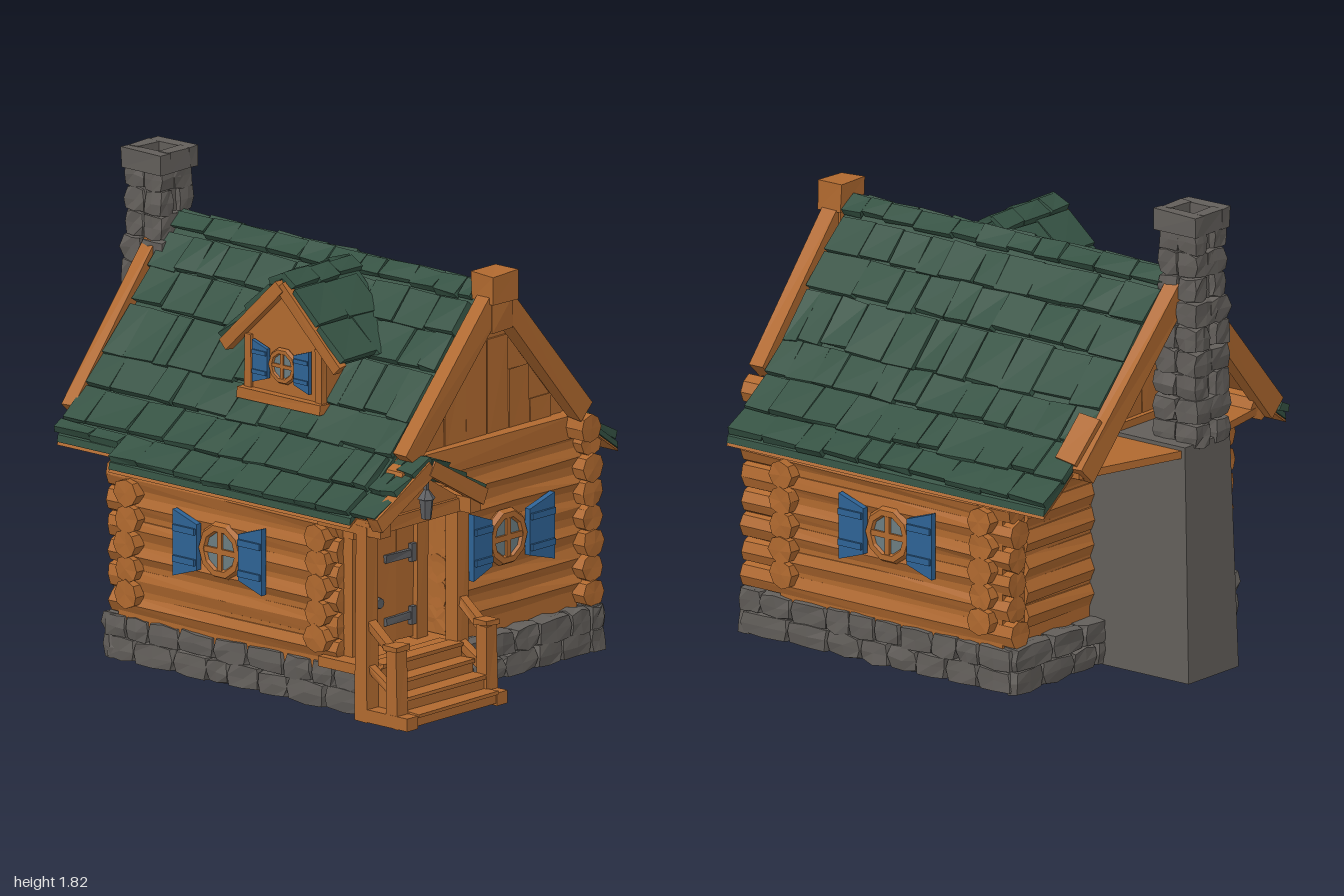
import * as THREE from 'three';

const paint = (name, color) => {
  const m = new THREE.MeshStandardMaterial({ color, flatShading: true });
  m.name = name;
  return m;
};
const WOOD = paint('wood', 0xb0692f), ROOF = paint('roofGreen', 0x345142), STONE = paint('stone', 0x625e5a);
const BLUE = paint('shutterBlue', 0x2e6294), IRON = paint('iron', 0x5c5d60), GLASS = paint('glass', 0x6b7c80);
const V = (x, y, z) => new THREE.Vector3(x, y, z);

// seeded random numbers
let seed = 7;
const rnd = (a = 0, b = 1) => {
  seed = (seed * 16807) % 2147483647;
  return a + (b - a) * seed / 2147483647;
};

// moves shared corners together so faces stay closed
function wobble(geo, amount) {
  const p = geo.attributes.position, s = rnd(0, 50);
  const h = (x, y, z, k) => {
    const v = Math.sin(x * 127.1 + y * 311.7 + z * 74.7 + s + k) * 4375.85;
    return (v - Math.floor(v) - 0.5) * 2 * amount;
  };
  for (let i = 0; i < p.count; i++) {
    const x = p.getX(i), y = p.getY(i), z = p.getZ(i);
    p.setXYZ(i, x + h(x, y, z, 0), y + h(x, y, z, 1.7), z + h(x, y, z, 3.1));
  }
  geo.computeVertexNormals();
  return geo;
}

function add(parent, name, mat, geo, x = 0, y = 0, z = 0) {
  const m = new THREE.Mesh(geo, mat);
  m.name = name;
  m.position.set(x, y, z);
  parent.add(m);
  return m;
}
function group(parent, name) {
  const g = new THREE.Group();
  g.name = name;
  parent.add(g);
  return g;
}
const box = (parent, name, mat, w, h, d, x, y, z, j = 0) =>
  add(parent, name, mat, wobble(new THREE.BoxGeometry(w, h, d), j), x, y, z);

// straight timber from a to b, depth measured along ref
function beam(parent, name, mat, a, b, w, d, ref = V(0, 0, 1), j = 0.004) {
  const Y = b.clone().sub(a), len = Y.length();
  Y.normalize();
  const X = Y.clone().cross(ref).normalize(), Z = X.clone().cross(Y);
  const m = box(parent, name, mat, w, len, d, 0, 0, 0, j);
  m.quaternion.setFromRotationMatrix(new THREE.Matrix4().makeBasis(X, Y, Z));
  m.position.copy(a).add(b).multiplyScalar(0.5);
}

// rough stone with its corners knocked off
function stone(parent, w, h, d, x, y, z) {
  const geo = new THREE.BoxGeometry(w, h, d, 2, 2, 2), p = geo.attributes.position;
  for (let i = 0; i < p.count; i++) {
    const v = V(p.getX(i), p.getY(i), p.getZ(i));
    const edges = [v.x, v.y, v.z].filter(c => Math.abs(c) > 1e-5).length;
    if (edges > 1) v.multiplyScalar(edges === 3 ? 0.87 : 0.96);
    p.setXYZ(i, v.x, v.y, v.z);
  }
  add(parent, 'stone', STONE, wobble(geo, 0.006), x, y, z);
}

// flat plate cut from an outline in x and y
function plate(parent, name, mat, pts, depth, z = 0) {
  const shape = new THREE.Shape(pts.map(p => new THREE.Vector2(...p)));
  return add(parent, name, mat, new THREE.ExtrudeGeometry(shape, { depth, bevelEnabled: false }), 0, 0, z);
}

function log(parent, axis, from, to, x, y, z, r = 0.056) {
  const m = add(parent, 'log', WOOD, wobble(new THREE.CylinderGeometry(r, r, to - from, 8, 2), 0.004), x, y, z);
  m.position[axis] = (from + to) / 2;
  if (axis === 'x') m.rotation.z = Math.PI / 2; else m.rotation.x = Math.PI / 2;
}

// one course of shingles lying between an upper and a lower line along z
function course(parent, top, low, z0, z1, lift = 0.012) {
  for (let z = z0; z < z1 - 0.02;) {
    let w = rnd(0.1, 0.19);
    if (z + w > z1 - 0.06) w = z1 - z;
    const a = V(top[0], top[1], z + w / 2), b = V(low[0], low[1] + lift + rnd(0, 0.008), z + w / 2);
    b.lerp(a, rnd(-0.1, 0.04));
    beam(parent, 'shingle', ROOF, a, b, 0.026, w - 0.003, V(0, 0, 1), 0.005);
    z += w;
  }
}

// round window with two open shutters that flare outward, facing +z
function windowUnit(parent, name, x, y, z, turn, scale = 1, reach = [0.225, 0.225]) {
  const g = group(parent, name);
  g.position.set(x, y, z);
  g.rotation.y = turn;
  g.scale.setScalar(scale);
  add(g, 'windowFrame', WOOD, new THREE.TorusGeometry(0.091, 0.023, 6, 10));
  add(g, 'windowGlass', GLASS, new THREE.CylinderGeometry(0.085, 0.085, 0.008, 12), 0, 0, 0.004).rotation.x = Math.PI / 2;
  box(g, 'muntin', WOOD, 0.022, 0.17, 0.016, 0, 0, 0.01);
  box(g, 'muntin', WOOD, 0.17, 0.022, 0.016, 0, 0, 0.01);
  [-1, 1].forEach((s, i) => {
    const out = reach[i], mid = (0.105 + out) / 2;
    plate(g, 'shutter', BLUE, [[s * 0.105, -0.09], [s * out, -0.13], [s * out, 0.13], [s * 0.105, 0.09]], 0.025, 0.005);
    for (const k of [-1, 1]) box(g, 'shutterBatten', BLUE, out - 0.115, 0.025, 0.012, s * mid, k * 0.06, 0.034);
  });
}

export function createModel() {
  seed = 7;
  const model = new THREE.Group();
  model.name = 'logCabin';

  // stone foundation: solid core and two courses of stones
  const base = group(model, 'foundation');
  box(base, 'foundationCore', STONE, 1.28, 0.17, 1.27, 0, 0.085, 0.085);
  box(base, 'stepFooting', STONE, 0.42, 0.008, 0.24, -0.43, 0.004, 0.83);
  for (let row = 0; row < 2; row++) for (const side of ['front', 'back', 'left', 'right']) {
    const alongX = side === 'front' || side === 'back';
    const end = alongX ? 0.67 : 0.74;
    for (let t = alongX ? -0.67 : -0.57; t < end - 0.02;) {
      let w = rnd(0.1, 0.2);
      if (t + w > end - 0.07) w = end - t;
      const c = t + w / 2, y = 0.045 + row * 0.088;
      if (alongX) stone(base, w, 0.092, 0.08, c, y, side === 'front' ? 0.715 : -0.55);
      else stone(base, 0.08, 0.092, w, side === 'left' ? -0.635 : 0.64, y, c);
      t += w;
    }
  }

  // log walls, cross logs set half a log higher, front bay beside the porch
  const walls = group(model, 'walls');
  box(walls, 'wallCore', WOOD, 1.32, 0.66, 1.07, 0, 0.47, 0.02);
  box(walls, 'wallHead', WOOD, 1.08, 0.1, 1.06, 0, 0.84, 0.02);
  box(walls, 'bayCore', WOOD, 0.74, 0.74, 0.21, 0.22, 0.53, 0.575);
  for (let i = 0; i < 7; i++) {
    const y = 0.225 + i * 0.098, half = [0.7, 0.7, 0.7, 0.7, 0.7, 0.67, 0.53][i];
    log(walls, 'z', -0.57 + rnd(0, 0.02), 0.72 + rnd(0, 0.02), 0.62, y, 0);
    log(walls, 'z', -0.57 + rnd(0, 0.02), 0.6, -0.62, y, 0);
    for (const z of [0.52, -0.44]) log(walls, 'x', -half - rnd(0, 0.01), half + rnd(0, 0.01), 0, y + 0.049, z);
    log(walls, 'x', -0.15, 0.6, 0, y + 0.04, 0.635, 0.06);
    log(walls, 'x', -0.53, 0.53, 0, y + 0.04, -0.475, 0.06);
  }
  for (const s of [-1, 1]) log(walls, 'z', -0.82, 0.825, s * 0.51, 0.905, 0);

  // gable ends with planks, tie beam and ledge
  const gables = group(model, 'gables');
  const tri = [[-0.58, 0.86], [0.58, 0.86], [0, 1.53]];
  plate(gables, 'frontGable', WOOD, tri, 0.155, 0.54);
  plate(gables, 'backGable', WOOD, tri, 0.14, -0.6);
  for (let k = -3; k <= 3; k++) {
    const x = k * 0.12, top = 1.46 - Math.abs(x) * 1.17;
    for (const z of [0.696, -0.602]) box(gables, 'plank', WOOD, 0.117, top - 0.9, 0.014, x, (top + 0.9) / 2, z, 0.003);
  }
  box(gables, 'frontTieBeam', WOOD, 1.0, 0.09, 0.06, 0, 0.905, 0.71, 0.005);
  box(gables, 'backTieBeam', WOOD, 1.02, 0.09, 0.06, 0, 0.905, -0.61, 0.005);
  const ledge = plate(gables, 'backLedge', WOOD,
    [[-0.58, -0.44], [-0.58, -0.8], [-0.16, -0.88], [0.12, -0.95], [0.58, -0.82], [0.58, -0.44]], 0.03);
  ledge.rotation.x = Math.PI / 2;
  ledge.position.y = 0.905;
  for (const s of [-1, 1]) {
    beam(gables, 'frontBargeBoard', WOOD, V(s * 0.49, 0.975, 0.785), V(s * 0.02, 1.51, 0.795), 0.09, 0.07);
    beam(gables, 'backBargeBoard', WOOD, V(s * 0.57, 0.89, -0.825), V(s * 0.02, 1.505, -0.85), 0.09, 0.06);
  }
  beam(gables, 'bargeFoot', WOOD, V(0.58, 0.925, -0.77), V(0.45, 1.07, -0.79), 0.07, 0.1);
  box(gables, 'ridgePostHead', WOOD, 0.14, 0.11, 0.115, 0.005, 1.56, 0.79, 0.005);
  box(gables, 'ridgePost', WOOD, 0.115, 0.13, 0.085, 0.005, 1.45, 0.79, 0.005);

  // main roof with flared eaves and a boarded underside, left eave cut shorter at the back
  const roof = group(model, 'roof');
  const line = [[0, 1.56], [0.06, 1.49], [0.16, 1.375], [0.27, 1.25], [0.41, 1.09], [0.52, 0.975], [0.65, 0.87], [0.755, 0.795]];
  const shortLine = [...line.slice(0, -1), [0.7, 0.835]];
  const band = (pts, hi, lo) => [...pts.map(([x, y]) => [x, y - lo]), ...[...pts].reverse().map(([x, y]) => [x - 0.005, y - hi])];
  for (const [s, pts, z0, z1] of [[1, line, -0.79, 0.74], [-1, line, -0.48, 0.74], [-1, shortLine, -0.79, -0.48]]) {
    const side = ([x, y]) => [s * x, y];
    plate(roof, 'roofDeck', ROOF, band(pts, 0.003, 0.03).map(side), z1 - z0, z0);
    plate(roof, 'roofLining', WOOD, band(pts, 0.03, 0.042).map(side), z1 - z0, z0);
    for (let i = pts.length - 2; i >= 0; i--) {
      const jog = z0 < -0.7 ? rnd(-0.02, 0) : 0;
      course(roof, side(pts[i]), side(pts[i + 1]), z0 + jog, z1 - (z1 > 0 ? rnd(0, 0.01) : 0), i ? 0.012 : 0.02);
    }
  }

  // dormer on the left slope
  const dormer = group(model, 'dormer');
  dormer.position.set(-0.44, 0, 0.13);
  dormer.rotation.y = -Math.PI / 2;
  plate(dormer, 'dormerWall', WOOD, [[-0.19, 1.02], [0.19, 1.02], [0.19, 1.32], [0, 1.52], [-0.19, 1.32]], 0.3, -0.3);
  box(dormer, 'dormerSill', WOOD, 0.42, 0.04, 0.06, 0, 1.085, 0.01, 0.004);
  windowUnit(dormer, 'dormerWindow', 0, 1.215, 0.008, 0, 0.64);
  for (const s of [-1, 1]) {
    box(dormer, 'dormerPost', WOOD, 0.035, 0.22, 0.024, s * 0.18, 1.2, 0, 0.003);
    beam(dormer, 'dormerBargeBoard', WOOD, V(s * 0.29, 1.25, 0.015), V(0, 1.53, 0.015), 0.05, 0.04);
    beam(dormer, 'dormerDeck', ROOF, V(s * 0.29, 1.275, -0.18), V(0, 1.555, -0.18), 0.025, 0.36);
    const d = [[0, 1.57], [s * 0.06, 1.515], [s * 0.18, 1.395], [s * 0.31, 1.27]];
    for (let i = 2; i >= 0; i--) course(dormer, d[i], d[i + 1], -0.37 + i * 0.04, 0.02);
  }

  // windows on the walls
  windowUnit(model, 'frontWindow', 0.17, 0.53, 0.695, 0, 1, [0.21, 0.245]);
  windowUnit(model, 'rightWindow', 0.67, 0.52, 0.02, Math.PI / 2);
  windowUnit(model, 'leftWindow', -0.67, 0.52, 0.02, -Math.PI / 2);

  // chimney: tapered foot, stone shaft and hollow cap
  const chimney = group(model, 'chimney');
  const foot = new THREE.BoxGeometry(0.3, 0.92, 0.56), fp = foot.attributes.position;
  for (let i = 0; i < fp.count; i++) if (fp.getY(i) > 0) {
    fp.setX(i, fp.getX(i) * 0.9);
    if (fp.getZ(i) < 0) fp.setZ(i, fp.getZ(i) + 0.03);
  }
  foot.computeVertexNormals();
  add(chimney, 'chimneyFoot', STONE, foot, -0.01, 0.46, -0.715);
  box(chimney, 'chimneyCore', STONE, 0.15, 0.85, 0.13, -0.03, 1.31, -0.875);
  for (let i = 0; i < 9; i++) {
    const y = 0.945 + i * 0.095, k = i % 2 ? 0.02 : -0.02, r = i < 6 ? 0.105 : 0.093;
    for (const s of [-1, 1]) {
      const w = r + s * k;
      stone(chimney, w, 0.097, r, -0.03 + s * (r - w / 2), y, -0.875 - s * r / 2);
      stone(chimney, 2 * r - w, 0.097, r, -0.03 + s * w / 2, y, -0.875 + s * r / 2);
    }
  }
  for (const s of [-1, 1]) {
    box(chimney, 'chimneyCap', STONE, 0.05, 0.08, 0.205, -0.035 + s * 0.078, 1.77, -0.87, 0.003);
    box(chimney, 'chimneyCap', STONE, 0.12, 0.08, 0.05, -0.035, 1.77, -0.87 + s * 0.077, 0.003);
  }

  // porch: floor, steps, posts, rails and small gable roof
  const porch = group(model, 'porch');
  box(porch, 'porchFloor', WOOD, 0.54, 0.04, 0.26, -0.43, 0.19, 0.66);
  for (let i = 0; i < 4; i++) {
    const front = 0.99 - i * 0.06, h = 0.053 * (i + 1);
    box(porch, 'step', WOOD, 0.45, h - 0.009, front - 0.7, -0.43, h / 2 + 0.0045, (front + 0.7) / 2);
    box(porch, 'tread', WOOD, 0.45, 0.014, 0.07, -0.43, h - 0.003, front - 0.025, 0.002);
  }
  for (const x of [-0.685, -0.18]) {
    box(porch, 'porchPost', WOOD, 0.062, 0.76, 0.06, x, 0.38, 0.765, 0.004);
    box(porch, 'newelPost', WOOD, 0.06, 0.3, 0.055, x, 0.15, 0.915, 0.004);
    box(porch, 'newelCap', WOOD, 0.074, 0.02, 0.07, x, 0.31, 0.915, 0.003);
    box(porch, 'stepSide', WOOD, 0.06, 0.05, 0.25, x, 0.025, 0.87);
    beam(porch, 'handRail', WOOD, V(x, 0.27, 0.92), V(x, 0.4, 0.76), 0.03, 0.04, V(1, 0, 0));
    beam(porch, 'lowerRail', WOOD, V(x, 0.12, 0.92), V(x, 0.22, 0.76), 0.03, 0.03, V(1, 0, 0));
    box(porch, 'porchPlate', WOOD, 0.06, 0.06, 0.32, x, 0.755, 0.7);
  }
  box(porch, 'porchTieBeam', WOOD, 0.56, 0.05, 0.06, -0.435, 0.75, 0.775, 0.004);
  plate(porch, 'porchGable', WOOD, [[-0.7, 0.76], [-0.17, 0.76], [-0.435, 0.92]], 0.03, 0.76);
  for (const s of [-1, 1]) {
    const at = (t, y) => [-0.435 + s * t, y];
    beam(porch, 'porchBargeBoard', WOOD, V(...at(0.3, 0.78), 0.85), V(...at(0, 0.95), 0.85), 0.06, 0.05);
    beam(porch, 'porchDeck', ROOF, V(...at(0.29, 0.8), 0.67), V(...at(0, 0.965), 0.67), 0.02, 0.36);
    const d = [at(0, 0.975), at(0.1, 0.92), at(0.2, 0.86), at(0.3, 0.795)];
    for (let i = 2; i >= 0; i--) course(porch, d[i], d[i + 1], 0.46, 0.865);
  }

  // door with frame, strap hinges and knob
  const door = group(model, 'door');
  for (const k of [-1, 0, 1]) box(door, 'doorBoard', WOOD, 0.098, 0.45, 0.03, -0.42 + k * 0.1, 0.445, 0.61, 0.003);
  for (const x of [-0.605, -0.24]) box(door, 'doorJamb', WOOD, 0.06, 0.52, 0.07, x, 0.47, 0.61, 0.003);
  box(door, 'doorLintel', WOOD, 0.43, 0.06, 0.08, -0.42, 0.7, 0.61, 0.003);
  for (const y of [0.305, 0.55]) {
    box(door, 'hinge', IRON, 0.15, 0.03, 0.014, -0.36, y, 0.632, 0.003);
    box(door, 'hingePlate', IRON, 0.035, 0.07, 0.022, -0.28, y, 0.632);
  }
  add(door, 'doorKnob', IRON, new THREE.CylinderGeometry(0.02, 0.025, 0.03, 8), -0.48, 0.39, 0.635).rotation.x = Math.PI / 2;

  // hanging lantern
  const lantern = group(model, 'lantern');
  lantern.position.set(-0.435, 0, 0.84);
  box(lantern, 'lanternHook', IRON, 0.015, 0.06, 0.015, 0, 0.88, 0);
  add(lantern, 'lanternHood', IRON, new THREE.CylinderGeometry(0.01, 0.036, 0.035, 6), 0, 0.843, 0);
  add(lantern, 'lanternBody', IRON, new THREE.CylinderGeometry(0.028, 0.02, 0.075, 6), 0, 0.785, 0);
  return model;
}
